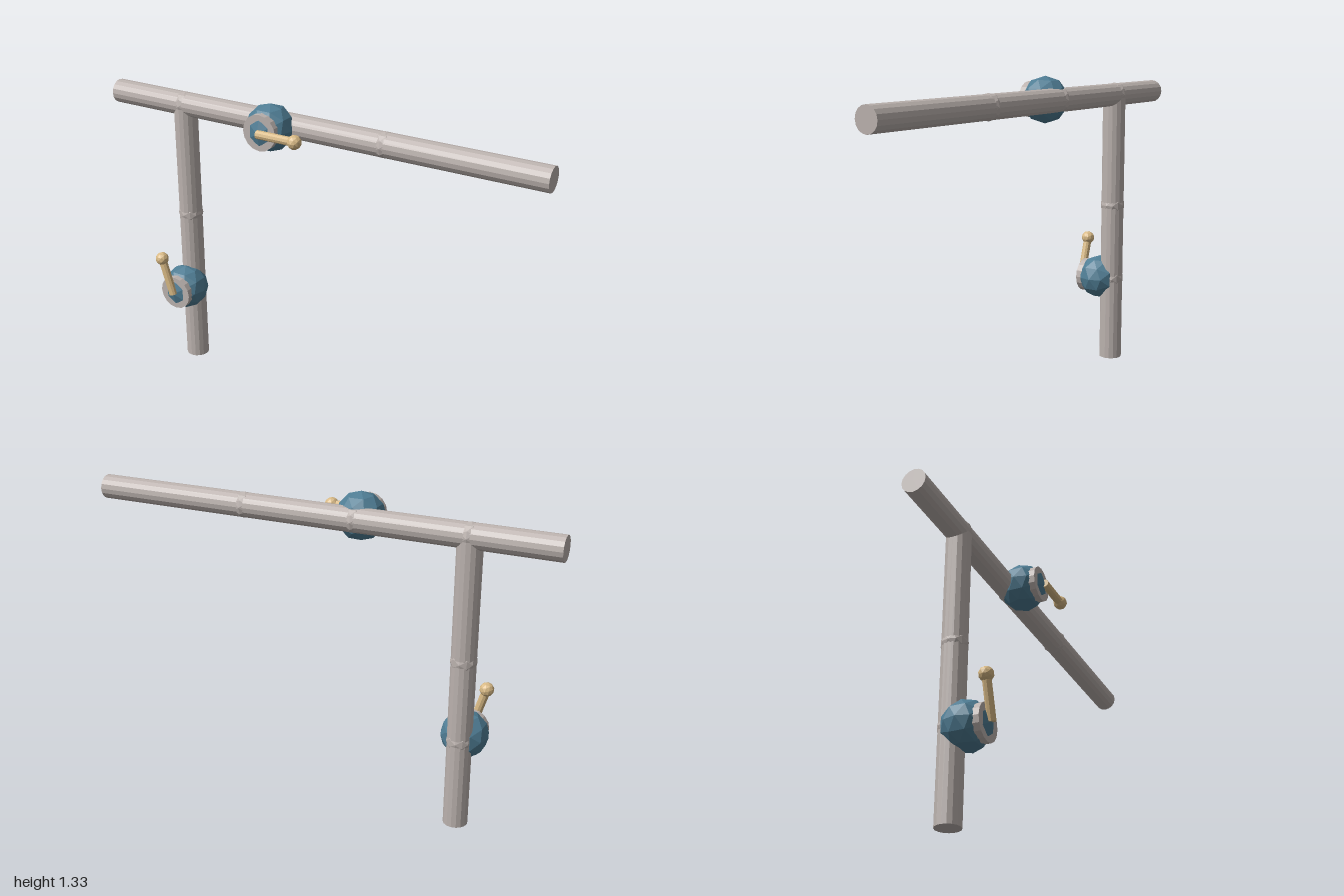
import * as THREE from 'three';

const mat = (name, color) => {
  const m = new THREE.MeshStandardMaterial({ color });
  m.name = name;
  return m;
};

export function createModel() {
  const model = new THREE.Group();
  model.name = 'pipeWithValves';
  const steel = mat('warm grey steel', 0xbbb2ae);
  const blue = mat('valve blue', 0x4f7d94);
  const brass = mat('pale brass', 0xd8b985);

  const PIPE_Z = -0.069, PIPE_R = 0.051, TOP = 1.23, POST_X = -0.64;

  // non-indexed geometry with face normals gives crisp facets
  const add = (parent, name, geo, material, x, y, z) => {
    const flat = geo.index ? geo.toNonIndexed() : geo;
    flat.computeVertexNormals();
    const mesh = new THREE.Mesh(flat, material);
    mesh.name = name;
    mesh.position.set(x, y, z);
    parent.add(mesh);
    return mesh;
  };

  // horizontal run and vertical branch
  const run = add(model, 'horizontalPipe', new THREE.CylinderGeometry(PIPE_R, PIPE_R, 2, 16), steel, 0, TOP, PIPE_Z);
  run.rotation.z = -Math.PI / 2;
  add(model, 'verticalPipe', new THREE.CylinderGeometry(PIPE_R, PIPE_R, TOP, 16), steel, POST_X, TOP / 2, PIPE_Z);

  // faceted joint balls that barely break the pipe surface
  const joints = [[POST_X, TOP], [-0.17, TOP], [0.32, TOP], [POST_X, 0.725], [POST_X, 0.38]];
  for (const [x, y] of joints) {
    add(model, 'pipeJoint', new THREE.IcosahedronGeometry(0.0548, 1), steel, x, y, PIPE_Z);
  }

  // valve: body ball, front flange and a lever turned by angle
  const addValve = (name, x, y, angle) => {
    const valve = new THREE.Group();
    valve.name = name;
    valve.position.set(x, y, 0);
    add(valve, 'valveBody', new THREE.IcosahedronGeometry(0.1, 1), blue, 0, 0, -0.006);
    const flange = add(valve, 'valveFlange', new THREE.CylinderGeometry(0.076, 0.076, 0.028, 16), steel, 0, 0, 0.064);
    flange.rotation.x = Math.PI / 2;

    const lever = new THREE.Group();
    lever.name = 'lever';
    lever.position.z = 0.092;
    lever.rotation.z = angle;
    add(lever, 'leverRod', new THREE.CylinderGeometry(0.018, 0.018, 0.174, 10), brass, 0, 0.087, 0);
    add(lever, 'leverKnob', new THREE.IcosahedronGeometry(0.03, 1), brass, 0, 0.174, 0);
    valve.add(lever);
    model.add(valve);
  };
  addValve('upperValve', -0.167, TOP, -Math.PI / 2);
  addValve('lowerValve', POST_X, 0.378, 0.3);

  return model;
}
